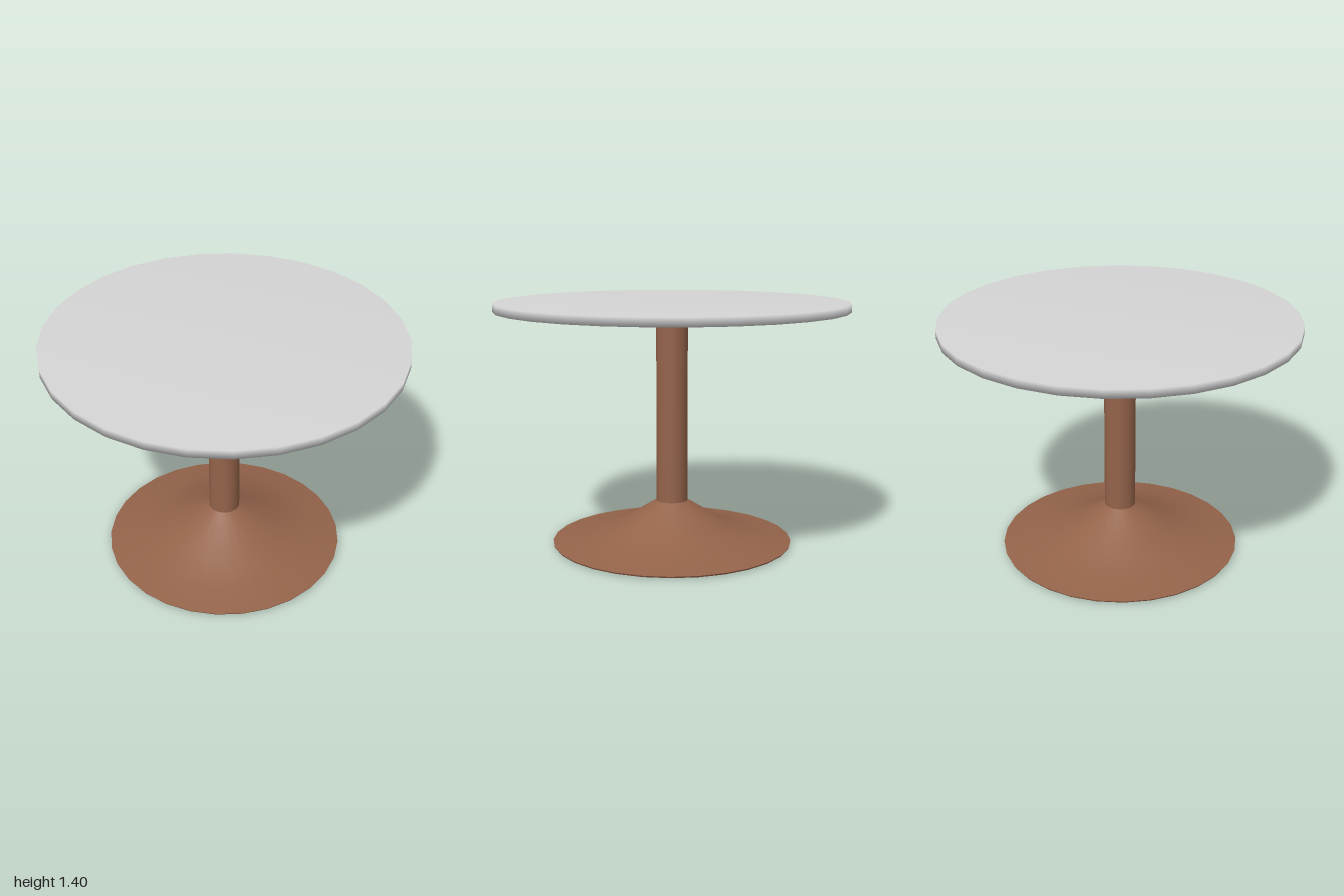
import * as THREE from 'three';

const SIDES = 29;

// Revolves [radius, height] pairs, listed from the underside round to the top
function revolve(name, profile, material, start = Math.PI / 2) {
  const points = profile.map(([r, y]) => new THREE.Vector2(r, y));
  const mesh = new THREE.Mesh(new THREE.LatheGeometry(points, SIDES, start), material);
  mesh.name = name;
  return mesh;
}

export function createModel() {
  const table = new THREE.Group();
  table.name = 'pedestalTable';

  const white = new THREE.MeshStandardMaterial({ color: 0xd4d4d4 });
  white.name = 'white top';
  const brown = new THREE.MeshStandardMaterial({ color: 0x94634a });
  brown.name = 'brown pedestal';

  // Round top with softly shaded edge
  table.add(revolve('tabletop', [[0, 1.355], [1.003, 1.355], [1.003, 1.403], [0, 1.403]], white));

  // Straight post, running down to the floor inside the hollow foot
  const post = new THREE.Mesh(new THREE.CylinderGeometry(0.09, 0.09, 1.357, SIDES, 1, false, Math.PI / 2), brown);
  post.name = 'post';
  post.position.y = 1.357 / 2;
  table.add(post);

  // Flared hollow foot: thin shell, inner face first, then rim and outer face
  const outer = [[0.695, 0.015], [0.53, 0.045], [0.31, 0.11], [0.088, 0.25]];
  const inner = [[0.088, 0.242], [0.31, 0.102], [0.53, 0.037], [0.69, 0.006]];
  table.add(revolve('footUnderside', inner, brown, -Math.PI / 2));
  table.add(revolve('footRim', [[0.69, 0.006], [0.695, 0.015]], brown, -Math.PI / 2));
  table.add(revolve('foot', outer, brown, -Math.PI / 2));

  // The odd side count makes the top slightly wider on +x
  for (const part of table.children) part.position.x = -0.003;
  return table;
}
